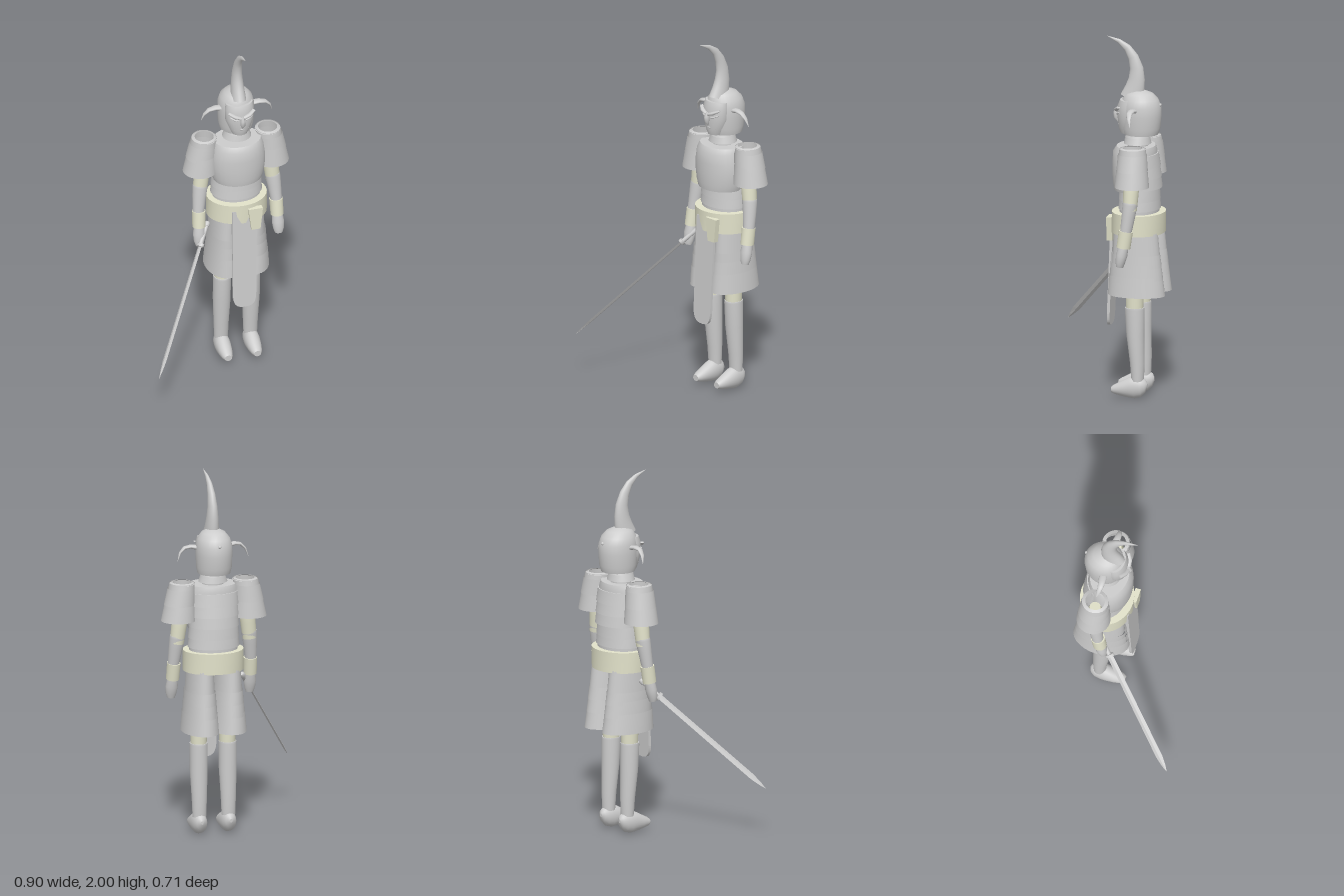
import * as THREE from 'three';

const steel = new THREE.MeshStandardMaterial({ color: 0xcccccc, side: THREE.DoubleSide });
steel.name = 'steel grey';
const cloth = new THREE.MeshStandardMaterial({ color: 0xe2e2ca, side: THREE.DoubleSide });
cloth.name = 'cream cloth';

const CX = 0.147; // body centre line
const UP = new THREE.Vector3(0, 1, 0);
const X = new THREE.Vector3(1, 0, 0);
const Z = new THREE.Vector3(0, 0, 1);

// Elliptical rings [x, y, z, radiusAlongSide, radiusAcross] joined into a skin
function loft(rings, { side = X, tangent = null, caps = true, segs = 28, flat = false } = {}) {
  const pos = [], idx = [];
  const at = (i) => new THREE.Vector3(rings[i][0], rings[i][1], rings[i][2]);
  const n = rings.length, loops = [];
  for (let i = 0; i < n; i++) {
    const t = tangent ? tangent.clone()
      : at(Math.min(i + 1, n - 1)).sub(at(Math.max(i - 1, 0))).normalize();
    const s = side.clone().addScaledVector(t, -side.dot(t)).normalize();
    const across = t.clone().cross(s), loop = [];
    for (let j = 0; j < segs; j++) {
      const a = (j / segs) * Math.PI * 2;
      loop.push(at(i).addScaledVector(s, Math.cos(a) * rings[i][3])
        .addScaledVector(across, Math.sin(a) * rings[i][4]));
    }
    loops.push(loop);
  }
  const add = (v) => pos.push(v.x, v.y, v.z);
  loops.forEach((l) => l.forEach(add));
  for (let i = 0; i < n - 1; i++) {
    for (let j = 0; j < segs; j++) {
      const k = (j + 1) % segs, a = i * segs, b = a + segs;
      idx.push(a + j, a + k, b + k, a + j, b + k, b + j);
    }
  }
  if (caps) {
    [0, n - 1].forEach((r) => {
      const base = pos.length / 3;
      loops[r].forEach(add);
      add(at(r));
      for (let j = 0; j < segs; j++) {
        const k = (j + 1) % segs;
        if (r === 0) idx.push(base + segs, base + k, base + j);
        else idx.push(base + segs, base + j, base + k);
      }
    });
  }
  let g = new THREE.BufferGeometry();
  g.setAttribute('position', new THREE.Float32BufferAttribute(pos, 3));
  g.setIndex(idx);
  if (flat) g = g.toNonIndexed();
  g.computeVertexNormals();
  return g;
}

export function createModel() {
  const model = new THREE.Group();
  model.name = 'hornedWarrior';
  const part = (name, geo, mat = steel) => {
    const m = new THREE.Mesh(geo, mat);
    m.name = name;
    model.add(m);
    return m;
  };
  // Upright band with level rings, centred on x: [y, z, rx, rz]
  const band = (name, rows, mat = steel, caps = true, x = CX) =>
    part(name, loft(rows.map(([y, z, rx, rz]) => [x, y, z, rx, rz]), { tangent: UP, caps }), mat);

  // Helmet, mask and crest
  band('helmet', [[1.465, -0.20, 0.09, 0.095], [1.5, -0.2, 0.097, 0.106], [1.57, -0.2, 0.1, 0.112],
    [1.62, -0.2, 0.099, 0.11], [1.66, -0.196, 0.088, 0.098], [1.69, -0.19, 0.064, 0.074],
    [1.705, -0.185, 0.035, 0.04], [1.708, -0.185, 0.004, 0.004]]);
  band('faceMask', [[1.467, -0.13, 0.045, 0.045], [1.5, -0.13, 0.06, 0.055], [1.56, -0.13, 0.08, 0.06],
    [1.62, -0.13, 0.081, 0.06], [1.655, -0.135, 0.075, 0.05]]);
  part('crestHorn', loft([[CX, 1.665, -0.15, 0.042, 0.066], [CX, 1.72, -0.165, 0.036, 0.053],
    [CX, 1.77, -0.175, 0.032, 0.045], [CX, 1.83, -0.174, 0.026, 0.037], [CX, 1.89, -0.155, 0.021, 0.029],
    [CX, 1.94, -0.122, 0.015, 0.021], [CX, 1.975, -0.075, 0.009, 0.012], [CX, 2.0, -0.01, 0.001, 0.001]]));
  part('nose', loft([[CX, 1.6, -0.066, 0.007, 0.01], [CX, 1.575, -0.06, 0.013, 0.017],
    [CX, 1.55, -0.06, 0.014, 0.014], [CX, 1.525, -0.07, 0.003, 0.004]], { segs: 10 }));
  part('mouthRidge', loft([[CX - 0.04, 1.505, -0.094, 0.004, 0.006], [CX, 1.512, -0.077, 0.006, 0.008],
    [CX + 0.04, 1.505, -0.094, 0.004, 0.006]], { side: UP, segs: 8 }));
  const rivet = part('helmetRivet', new THREE.SphereGeometry(0.009, 10, 8));
  rivet.position.set(CX, 1.63, -0.306);
  for (const s of [1, -1]) {
    const side = s > 0 ? 'left' : 'right';
    part(side + 'Brow', loft([[0.008, 1.59, -0.067], [0.04, 1.602, -0.07], [0.07, 1.618, -0.092]]
      .map(([x, y, z], i) => [CX + s * x, y, z, [0.008, 0.01, 0.005][i], 0.014]), { side: UP, segs: 10 }));
    part(side + 'EyeLid', loft([[0.02, 1.573, -0.071], [0.04, 1.577, -0.077], [0.062, 1.588, -0.092]]
      .map(([x, y, z]) => [CX + s * x, y, z, 0.004, 0.007]), { side: UP, segs: 8 }));
    part(side + 'HelmetHorn', loft([[0.085, 1.606, -0.18, 0.022, 0.013], [0.125, 1.613, -0.174, 0.02, 0.011],
      [0.16, 1.607, -0.172, 0.016, 0.009], [0.186, 1.582, -0.176, 0.011, 0.006],
      [0.202, 1.538, -0.184, 0.001, 0.001]]
      .map(([x, ...r]) => [CX + s * x, ...r]), { side: Z, segs: 16 }));
  }

  // Neck and collar
  band('neck', [[1.38, -0.18, 0.058, 0.058], [1.475, -0.18, 0.058, 0.058]]);
  band('upperCollar', [[1.448, -0.18, 0.068, 0.068], [1.465, -0.18, 0.062, 0.062]]);
  band('lowerCollar', [[1.412, -0.18, 0.08, 0.075], [1.45, -0.18, 0.067, 0.067]]);

  // Torso armour
  band('breastplate', [[1.155, -0.165, 0.135, 0.112], [1.19, -0.165, 0.146, 0.118], [1.25, -0.165, 0.154, 0.121],
    [1.31, -0.165, 0.153, 0.121], [1.37, -0.167, 0.143, 0.12], [1.4, -0.172, 0.132, 0.105]]);
  [[1.36, 1.29, 0.102], [1.3, 1.23, 0.108], [1.265, 1.17, 0.113]].forEach(([top, low, rz]) =>
    band('backPlate', [[low, -0.2, 0.14, rz + 0.003], [top, -0.197, 0.134, rz - 0.006]]));
  band('upperWaistPlate', [[1.105, -0.192, 0.142, 0.113], [1.17, -0.192, 0.136, 0.108]]);
  band('lowerWaistPlate', [[1.053, -0.192, 0.144, 0.115], [1.11, -0.192, 0.138, 0.11]]);
  band('waist', [[1.02, -0.19, 0.135, 0.108], [1.06, -0.19, 0.135, 0.108]]);

  // Sash and its hanging end
  band('sash', [[0.92, -0.187, 0.168, 0.146], [1.035, -0.187, 0.168, 0.147]], cloth);
  const tab = new THREE.Shape([[0.17, 1.01], [0.187, 0.878], [0.238, 0.878], [0.252, 1.01]]
    .map(([x, y]) => new THREE.Vector2(x, y)));
  const tabGeo = new THREE.ExtrudeGeometry(tab, { depth: 0.03, bevelEnabled: false });
  part('sashEnd', tabGeo.translate(0, 0, -0.058), cloth);

  // Front apron, leaning outward as it falls
  const apron = new THREE.Shape();
  apron.moveTo(0.083, 1.0);
  apron.lineTo(0.081, 0.46);
  apron.bezierCurveTo(0.085, 0.4, 0.11, 0.39, 0.148, 0.39);
  apron.bezierCurveTo(0.19, 0.39, 0.207, 0.4, 0.212, 0.46);
  apron.lineTo(0.219, 0.88);
  apron.lineTo(0.213, 1.0);
  const apronGeo = new THREE.ExtrudeGeometry(apron, { depth: 0.016, bevelEnabled: false });
  const ap = apronGeo.attributes.position;
  for (let i = 0; i < ap.count; i++) ap.setZ(i, ap.getZ(i) - 0.036 - (ap.getY(i) - 0.39) * 0.042);
  apronGeo.computeVertexNormals();
  part('apron', apronGeo);

  for (const s of [1, -1]) {
    const side = s > 0 ? 'left' : 'right';
    const limb = (name, rows, mat, opts) =>
      part(side + name, loft(rows.map(([x, ...r]) => [CX + s * x, ...r]), opts), mat);

    // Tiered thigh guards: [low y, top y, low rx, top rx, low rz, top rz]
    [[0.79, 0.94, 0.076, 0.068, 0.132, 0.122], [0.74, 0.81, 0.084, 0.08, 0.14, 0.136],
      [0.67, 0.76, 0.09, 0.084, 0.148, 0.141], [0.58, 0.69, 0.1, 0.091, 0.159, 0.149]]
      .forEach(([y0, y1, x0, x1, z0, z1]) => band(side + 'ThighGuard',
        [[y0, -0.193, x0, z0], [y1, -0.188, x1, z1]], steel, false, CX + s * 0.078));

    // Legs and boots
    limb('Thigh', [[0.082, 0.47, -0.183, 0.043, 0.046], [0.082, 0.93, -0.185, 0.055, 0.06]], cloth, { tangent: UP });
    limb('Shin', [[0.083, 0.1, -0.2, 0.038, 0.034], [0.083, 0.2, -0.198, 0.042, 0.04],
      [0.083, 0.36, -0.187, 0.049, 0.049], [0.083, 0.5, -0.183, 0.049, 0.054],
      [0.083, 0.51, -0.183, 0.048, 0.052]], steel, { tangent: UP });
    limb('Boot', [[0.083, 0.075, -0.253, 0.008, 0.01], [0.083, 0.071, -0.243, 0.028, 0.035],
      [0.083, 0.066, -0.22, 0.039, 0.055], [0.083, 0.064, -0.185, 0.043, 0.063],
      [0.083, 0.061, -0.155, 0.043, 0.057], [0.083, 0.053, -0.11, 0.038, 0.041],
      [0.083, 0.047, -0.07, 0.029, 0.026], [0.083, 0.045, -0.055, 0.02, 0.017]], steel, { tangent: Z });

    // Tiered shoulder guards, open at top and bottom
    [[1.37, 1.42, 0.186, 0.182, 0.073, 0.068, 0.077, 0.072], [1.3, 1.39, 0.197, 0.186, 0.084, 0.074, 0.086, 0.079],
      [1.21, 1.32, 0.203, 0.194, 0.095, 0.08, 0.094, 0.084]]
      .forEach(([y0, y1, c0, c1, x0, x1, z0, z1]) => limb('ShoulderGuard',
        [[c0, y0, -0.197, x0, z0], [c1, y1, -0.195, x1, z1]], steel, { tangent: UP, caps: false }));
    limb('ShoulderRim', [[0.18, 1.415, -0.195, 0.07, 0.074], [0.18, 1.423, -0.195, 0.052, 0.054]],
      steel, { tangent: UP, caps: false });

    // Arms
    limb('UpperArm', [[0.208, 1.08, -0.187, 0.039, 0.038], [0.198, 1.17, -0.19, 0.042, 0.042],
      [0.186, 1.27, -0.195, 0.045, 0.045], [0.18, 1.33, -0.195, 0.03, 0.03]], cloth);
    limb('Forearm', [[0.222, 0.95, -0.166, 0.031, 0.031], [0.213, 1.05, -0.18, 0.038, 0.037],
      [0.206, 1.11, -0.187, 0.042, 0.041], [0.205, 1.122, -0.188, 0.04, 0.039]]);
    limb('Cuff', [[0.222, 0.872, -0.154, 0.036, 0.038], [0.219, 0.965, -0.167, 0.037, 0.039]], cloth);
    limb('Hand', [[0.225, 0.765, -0.134, 0.022, 0.02], [0.225, 0.79, -0.137, 0.03, 0.026],
      [0.224, 0.83, -0.145, 0.034, 0.031], [0.222, 0.88, -0.154, 0.028, 0.028]]);
  }

  // Sword in the right hand: points measured along the blade from the guard
  const tip = new THREE.Vector3(-0.45, 0.27, 0.355), guard = new THREE.Vector3(-0.085, 0.785, -0.095);
  const dir = tip.clone().sub(guard).normalize();
  const edge = new THREE.Vector3(-0.336, -0.47, -0.814);
  const along = (rows) => rows.map(([d, a, b]) => [...guard.clone().addScaledVector(dir, d).toArray(), a, b]);
  const len = tip.distanceTo(guard);
  part('swordBlade', loft(along([[0, 0.018, 0.005], [len - 0.1, 0.019, 0.005], [len - 0.04, 0.011, 0.004],
    [len, 0.001, 0.001]]), { side: edge, segs: 4, flat: true }));
  part('swordGuard', loft(along([[-0.008, 0.026, 0.018], [0.008, 0.026, 0.018]]), { side: edge }));
  part('swordGrip', loft(along([[-0.125, 0.012, 0.012], [0, 0.012, 0.012]]), { side: edge, segs: 14 }));
  part('swordPommel', loft(along([[-0.14, 0.01, 0.01], [-0.132, 0.016, 0.016], [-0.115, 0.016, 0.016]]),
    { side: edge, segs: 14 }));

  return model;
}
